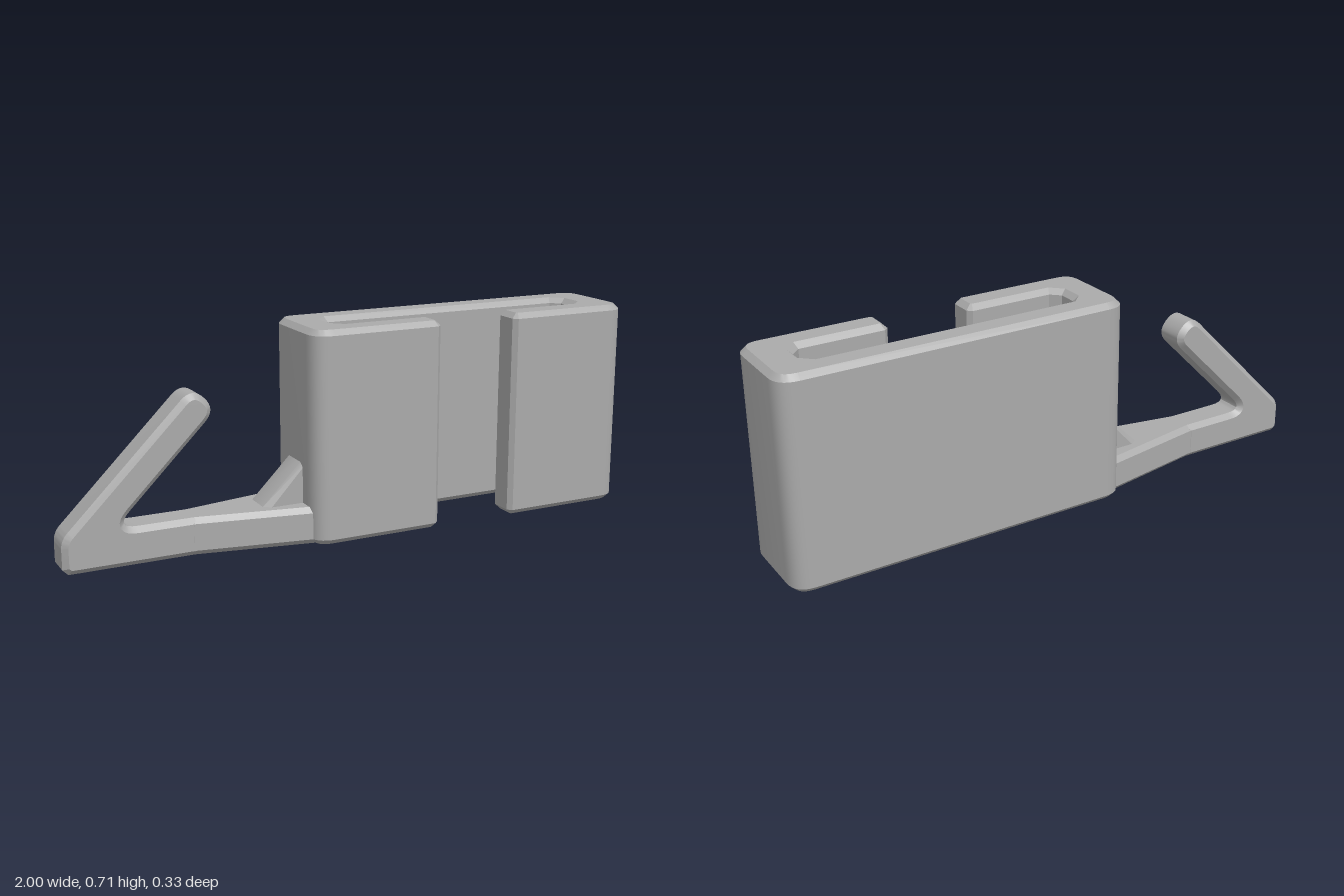
import * as THREE from 'three';
import { toCreasedNormals } from 'three/addons/utils/BufferGeometryUtils.js';

const BEVEL = 0.018;

// Closed outline from corners [x, y, trim, 'cut']: trimmed corners are rounded, or cut straight
function outline(corners) {
  const shape = new THREE.Shape();
  const n = corners.length;
  corners.forEach(([x, y, trim = 0, cut], i) => {
    const p = new THREE.Vector2(x, y);
    const toward = (c) => new THREE.Vector2(c[0], c[1]).sub(p).setLength(trim).add(p);
    const a = toward(corners[(i + n - 1) % n]);
    const b = toward(corners[(i + 1) % n]);
    if (i === 0) shape.moveTo(a.x, a.y);
    else shape.lineTo(a.x, a.y);
    if (!trim) return;
    if (cut) shape.lineTo(b.x, b.y);
    else shape.quadraticCurveTo(x, y, b.x, b.y);
  });
  shape.closePath();
  return shape;
}

// Extrusion from 0 to depth with chamfered rims kept inside the outline
function chamferedExtrude(corners, depth, bevel = BEVEL) {
  const geometry = new THREE.ExtrudeGeometry(outline(corners), {
    depth: depth - 2 * bevel,
    bevelThickness: bevel,
    bevelSize: bevel,
    bevelOffset: -bevel,
    bevelSegments: 1,
    curveSegments: 8,
  });
  geometry.translate(0, 0, bevel);
  return geometry;
}

export function createModel() {
  const model = new THREE.Group();
  model.name = 'clipWithHook';
  const grey = new THREE.MeshStandardMaterial({ color: 0xaaaaaa });
  grey.name = 'plain grey';

  const add = (name, geometry) => {
    const mesh = new THREE.Mesh(toCreasedNormals(geometry, 0.5), grey);
    mesh.name = name;
    model.add(mesh);
  };
  const upright = (corners, height) => chamferedExtrude(corners, height).rotateX(-Math.PI / 2);
  const sideways = (corners, width) => chamferedExtrude(corners, width).translate(0, 0, -width / 2);

  // C-shaped clip body, plan drawn as (x, -z), slot open to the front
  add('clipBody', upright([
    [-0.2, 0.165, 0.07],
    [-0.2, -0.165, 0.07],
    [0.26, -0.165, 0.015, 'cut'],
    [0.26, -0.06, 0.015, 'cut'],
    [-0.075, -0.06, 0.03, 'cut'],
    [-0.075, 0.065, 0.03, 'cut'],
    [0.87, 0.065, 0.03, 'cut'],
    [0.87, -0.06, 0.03, 'cut'],
    [0.54, -0.06, 0.015, 'cut'],
    [0.54, -0.165, 0.015, 'cut'],
    [1, -0.165, 0.07],
    [1, 0.165, 0.07],
  ], 0.71));

  // Tapered arm from the hook to the body
  add('taperedArm', upright([
    [-0.61, 0.055], [-0.61, -0.055], [-0.15, -0.137], [-0.15, 0.137],
  ], 0.125));

  // Hook with a slanted, round-ended finger
  add('hook', sideways([
    [-1, 0, 0.018, 'cut'],
    [-0.56, 0],
    [-0.56, 0.125],
    [-0.832, 0.125, 0.075],
    [-0.487, 0.47, 0.055],
    [-0.565, 0.548, 0.055],
    [-1, 0.113, 0.03],
  ], 0.124));

  // Gusset bracing the arm against the body
  add('gusset', sideways([
    [-0.4, 0.06], [-0.15, 0.06], [-0.15, 0.31], [-0.335, 0.125],
  ], 0.126));

  return model;
}
